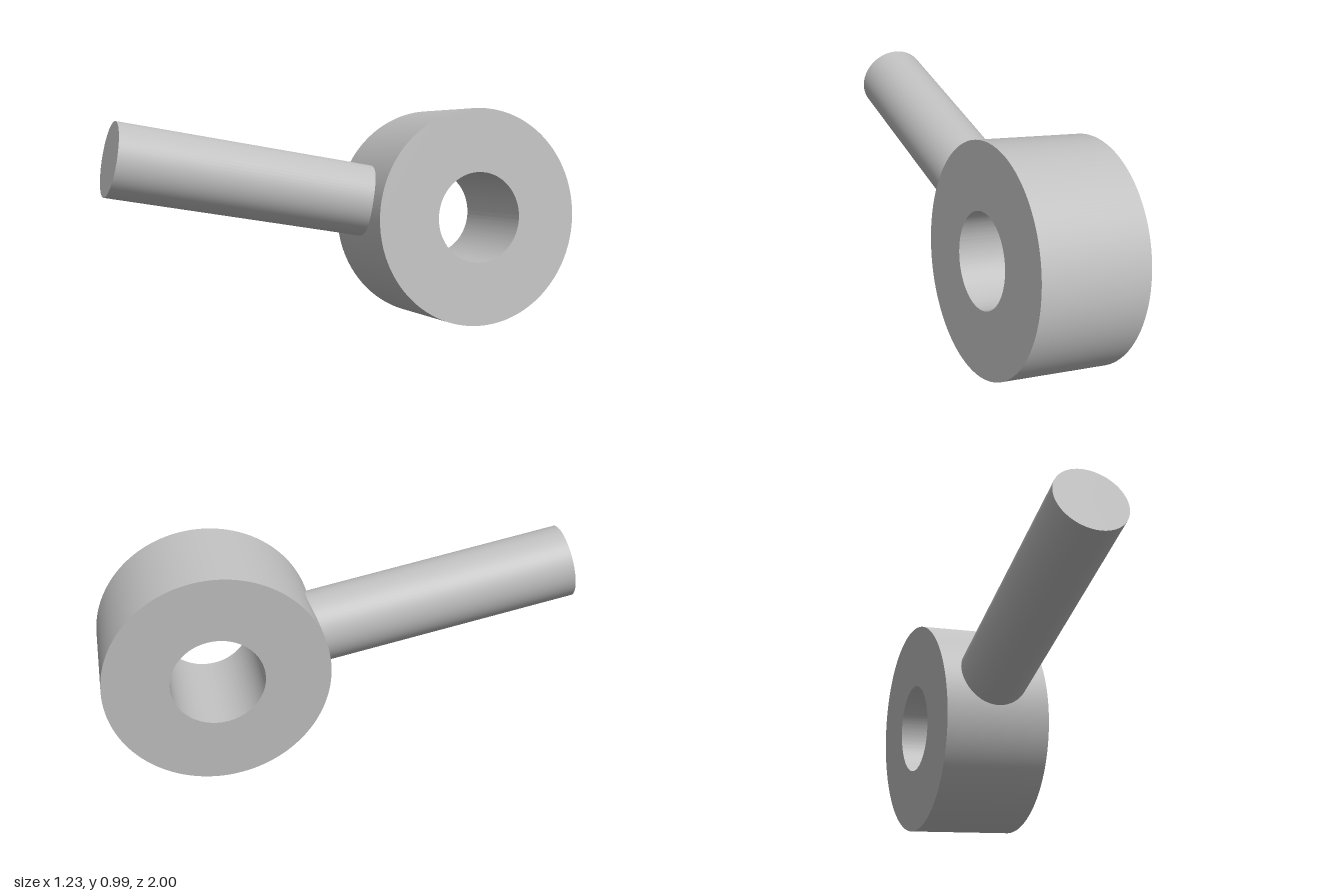
import * as THREE from 'three';
import { toCreasedNormals } from 'three/addons/utils/BufferGeometryUtils.js';

export function createModel() {
  const group = new THREE.Group();
  const grey = new THREE.MeshStandardMaterial({ color: 0xc0c0c0 });
  grey.name = 'light grey';

  const centre = new THREE.Vector3(0.197, 0.495, -0.467);
  const boreAxis = new THREE.Vector3(0.43, 0.046, 0.195).normalize();
  const rodEnd = new THREE.Vector3(-0.474, 0.8125, 0.925);

  // Thick ring with a round through-hole
  const width = 0.474;
  const outline = new THREE.Shape().absarc(0, 0, 0.475, 0, Math.PI * 2, false);
  outline.holes.push(new THREE.Path().absarc(0, 0, 0.198, 0, Math.PI * 2, true));
  const ringGeometry = new THREE.ExtrudeGeometry(outline, {
    depth: width, bevelEnabled: false, curveSegments: 96,
  }).translate(0, 0, -width / 2);
  const ring = new THREE.Mesh(toCreasedNormals(ringGeometry, 0.6), grey);
  ring.name = 'ring';
  ring.position.copy(centre);
  ring.quaternion.setFromUnitVectors(new THREE.Vector3(0, 0, 1), boreAxis);
  group.add(ring);

  // Round rod, rooted inside the ring wall and pointing away from its centre
  const rodAxis = rodEnd.clone().sub(centre).normalize();
  const rodStart = centre.clone().addScaledVector(rodAxis, 0.33);
  const length = rodStart.distanceTo(rodEnd);
  const rod = new THREE.Mesh(new THREE.CylinderGeometry(0.156, 0.156, length, 64), grey);
  rod.name = 'rod';
  rod.position.copy(rodStart).add(rodEnd).multiplyScalar(0.5);
  rod.quaternion.setFromUnitVectors(new THREE.Vector3(0, 1, 0), rodAxis);
  group.add(rod);

  return group;
}
